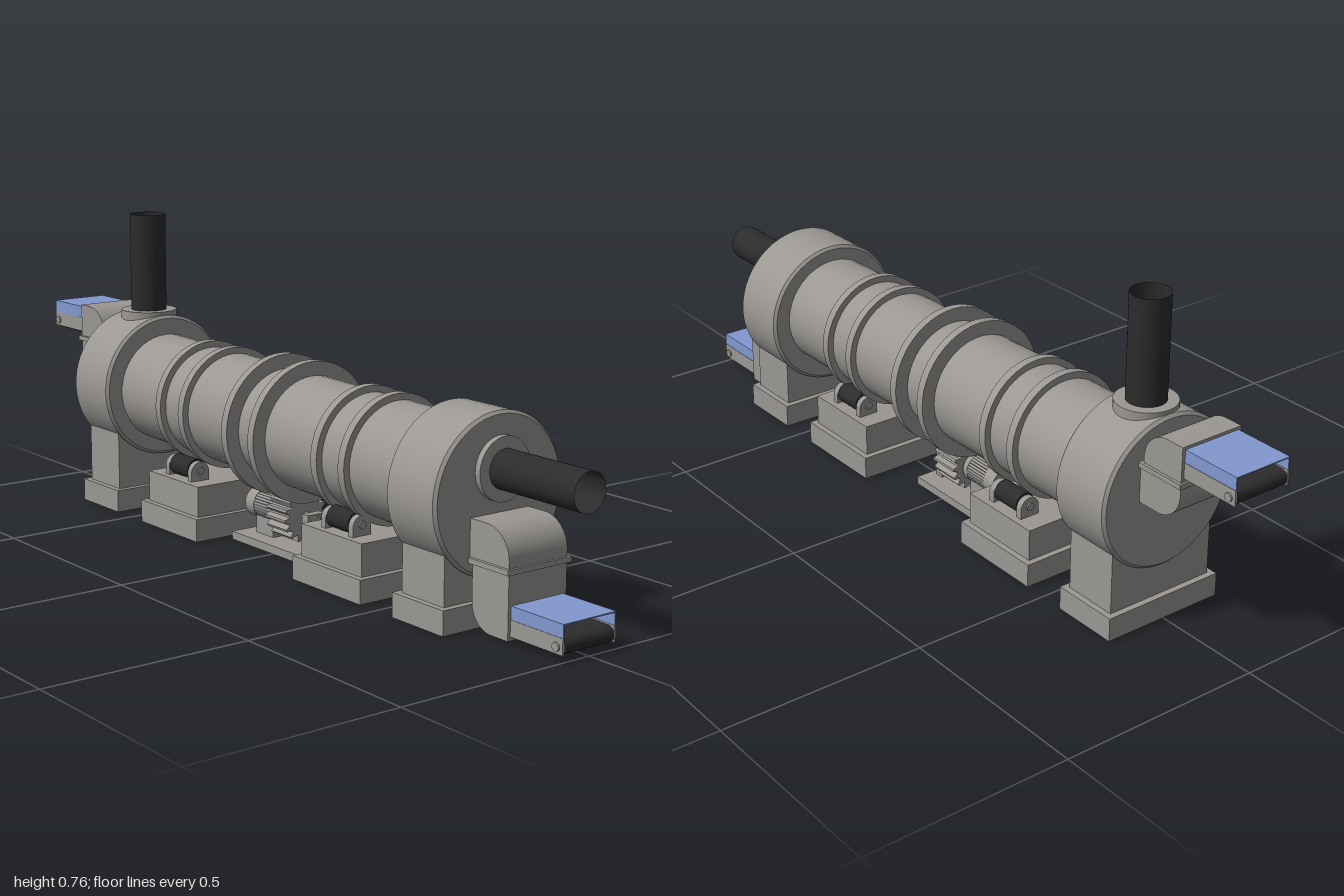
import * as THREE from 'three';

export function createModel() {
  const root = new THREE.Group();
  const mat = (name, color, side = THREE.FrontSide) =>
    Object.assign(new THREE.MeshStandardMaterial({ color, side }), { name });
  const grey = mat('grey steel', 0x9b9894);
  const dark = mat('dark rubber', 0x2c2c2c, THREE.DoubleSide);
  const blue = mat('blue cover', 0x8298d0);

  const add = (name, geo, m, parent = root) => {
    const mesh = new THREE.Mesh(geo, m);
    mesh.name = name;
    parent.add(mesh);
    return mesh;
  };
  // Box given by its limits
  const box = (name, m, x0, x1, y0, y1, z0, z1, parent) => {
    const b = add(name, new THREE.BoxGeometry(x1 - x0, y1 - y0, z1 - z0), m, parent);
    b.position.set((x0 + x1) / 2, (y0 + y1) / 2, (z0 + z1) / 2);
    return b;
  };
  // Cylinder along x
  const cylX = (name, m, r, x0, x1, y, z = 0, parent = root, open = false) => {
    const g = new THREE.CylinderGeometry(r, r, x1 - x0, 48, 1, open).rotateZ(-Math.PI / 2);
    const c = add(name, g, m, parent);
    c.position.set((x0 + x1) / 2, y, z);
    return c;
  };

  // Slightly sloping drum with riding tyres and twin girth rings
  const drum = new THREE.Group();
  drum.name = 'drum';
  drum.position.y = 0.303;
  drum.rotation.z = -0.02;
  root.add(drum);
  cylX('drumShell', grey, 0.138, -0.62, 0.62, 0, 0, drum);
  for (const x of [-0.37, -0.27, 0.27, 0.37]) cylX('tyre', grey, 0.154, x - 0.011, x + 0.011, 0, 0, drum);
  for (const x of [-0.055, 0.052]) cylX('girthRing', grey, 0.173, x - 0.011, x + 0.011, 0, 0, drum);

  // End hoods with bevelled rims, on legs and footings
  for (const [x, y] of [[-0.645, 0.318], [0.642, 0.284]]) {
    const w = 0.081, r = 0.183, b = 0.007;
    const sections = [[[0, -w], [r - b, -w]], [[r - b, -w], [r, b - w]], [[r, b - w], [r, w - b]],
      [[r, w - b], [r - b, w]], [[r - b, w], [0, w]]];
    const hood = new THREE.Group();
    hood.name = 'endHood';
    hood.position.set(x, y, 0);
    root.add(hood);
    for (const s of sections) {
      const g = new THREE.LatheGeometry(s.map(p => new THREE.Vector2(...p)), 64).rotateZ(-Math.PI / 2);
      add('hoodSurface', g, grey, hood);
    }
    box('hoodLeg', grey, x - 0.069, x + 0.069, 0.05, y - 0.09, -0.143, 0.143);
    box('hoodFooting', grey, x - 0.084, x + 0.084, 0, 0.057, -0.158, 0.158);
  }

  // Exhaust stack and burner pipe, each open at the end
  const up = (name, m, r, y0, y1, open) => {
    const c = add(name, new THREE.CylinderGeometry(r, r, y1 - y0, 48, 1, open), m);
    c.position.set(-0.645, (y0 + y1) / 2, 0);
  };
  up('stackCollar', grey, 0.072, 0.44, 0.51, false);
  up('stack', dark, 0.046, 0.505, 0.76, true);
  cylX('burnerFlange', grey, 0.072, 0.71, 0.738, 0.343);
  cylX('burnerPipe', dark, 0.045, 0.735, 0.99, 0.343, 0, root, true);

  // Roller stations: stepped block, two rollers in round-topped bearings
  const bearingShape = new THREE.Shape();
  bearingShape.moveTo(-0.026, 0);
  bearingShape.lineTo(0.026, 0);
  bearingShape.lineTo(0.026, 0.024);
  bearingShape.absarc(0, 0.024, 0.026, 0, Math.PI, false);
  const bearingGeo = new THREE.ExtrudeGeometry(bearingShape, { depth: 0.016, bevelEnabled: false, curveSegments: 16 })
    .translate(0, 0, -0.008).rotateY(Math.PI / 2);
  for (const x of [-0.322, 0.322]) {
    box('rollerFooting', grey, x - 0.125, x + 0.125, 0, 0.057, -0.158, 0.158);
    box('rollerBlock', grey, x - 0.11, x + 0.11, 0.05, 0.134, -0.143, 0.143);
    for (const z of [-0.1, 0.1]) {
      cylX('roller', dark, 0.026, x - 0.04, x + 0.04, 0.16, z);
      cylX('rollerAxle', grey, 0.01, x - 0.062, x + 0.062, 0.16, z);
      for (const dx of [-0.05, 0.05])
        add('bearing', bearingGeo, grey).position.set(x + dx, 0.132, z);
    }
  }

  // Drive: base plate, finned motor, pinion and outer bearing
  box('drivePlate', grey, -0.17, 0.098, 0, 0.02, -0.07, 0.07);
  cylX('motorBody', grey, 0.031, -0.135, -0.045, 0.09);
  cylX('motorFanCover', grey, 0.037, -0.16, -0.125, 0.09);
  cylX('motorFlange', grey, 0.037, -0.06, -0.045, 0.09);
  for (let i = 0; i < 16; i++) {
    const fin = box('motorFin', grey, -0.13, -0.055, 0.087, 0.093, -0.036, 0.036);
    fin.rotation.x = (i / 16) * Math.PI;
  }
  box('motorFoot', grey, -0.13, -0.06, 0.018, 0.07, -0.025, 0.025);
  cylX('driveShaft', grey, 0.012, -0.06, 0.085, 0.09);
  box('shaftSupport', grey, 0.058, 0.08, 0.018, 0.105, -0.025, 0.025);
  const gear = new THREE.Shape();
  const teeth = 16;
  for (let i = 0; i < teeth * 4; i++) {
    const a = (i / (teeth * 4)) * Math.PI * 2, r = i % 4 < 2 ? 0.063 : 0.05;
    gear[i ? 'lineTo' : 'moveTo'](r * Math.cos(a), r * Math.sin(a));
  }
  gear.closePath();
  add('pinion', new THREE.ExtrudeGeometry(gear, { depth: 0.08, bevelEnabled: false })
    .translate(0, 0, -0.04).rotateY(Math.PI / 2), grey).position.set(0, 0.09, 0);

  // Chutes: upper elbow rounded at the top right, flange, lower elbow rounded at the bottom left
  const elbow = (name, x0, x1, y0, y1, r, upper) => {
    const s = new THREE.Shape();
    if (upper) {
      s.moveTo(x0, y0);
      s.lineTo(x1, y0);
      s.lineTo(x1, y1 - r);
      s.absarc(x1 - r, y1 - r, r, 0, Math.PI / 2, false);
      s.lineTo(x0, y1);
    } else {
      s.moveTo(x1, y1);
      s.lineTo(x0, y1);
      s.lineTo(x0, y0 + r);
      s.absarc(x0 + r, y0 + r, r, Math.PI, Math.PI * 1.5, false);
      s.lineTo(x1, y0);
    }
    add(name, new THREE.ExtrudeGeometry(s, { depth: 0.166, bevelEnabled: false, curveSegments: 16 })
      .translate(0, 0, -0.083), grey);
  };
  elbow('inletUpperElbow', -0.85, -0.735, 0.415, 0.502, 0.07, true);
  elbow('inletLowerElbow', -0.85, -0.715, 0.32, 0.415, 0.07, false);
  box('inletFlange', grey, -0.855, -0.727, 0.407, 0.419, -0.09, 0.09);
  elbow('outletUpperElbow', 0.715, 0.845, 0.157, 0.246, 0.07, true);
  elbow('outletLowerElbow', 0.732, 0.845, 0.006, 0.157, 0.06, false);
  box('outletFlange', grey, 0.726, 0.851, 0.15, 0.162, -0.091, 0.091);

  // Belt conveyors with grey side rails and a thin open-ended cover
  for (const [x0, x1, y, end] of [[-1, -0.84, 0.425, -0.982], [0.835, 1, 0.012, 0.982]]) {
    const g = new THREE.Group();
    g.name = 'conveyor';
    root.add(g);
    box('belt', dark, Math.max(x0, -0.982), Math.min(x1, 0.982), y, y + 0.037, -0.071, 0.071, g);
    const roll = add('beltEnd', new THREE.CylinderGeometry(0.0185, 0.0185, 0.142, 24).rotateX(Math.PI / 2), dark, g);
    roll.position.set(end, y + 0.0185, 0);
    const pin = add('beltPin', new THREE.CylinderGeometry(0.01, 0.01, 0.16, 16).rotateX(Math.PI / 2), grey, g);
    pin.position.copy(roll.position);
    for (const s of [-1, 1]) {
      box('sideRail', grey, x0, x1, y + 0.003, y + 0.04, s * 0.0735 - 0.0025, s * 0.0735 + 0.0025, g);
      box('coverSide', blue, x0, x1, y + 0.04, y + 0.069, s * 0.0735 - 0.0015, s * 0.0735 + 0.0015, g);
    }
    box('coverTop', blue, x0, x1, y + 0.067, y + 0.07, -0.075, 0.075, g);
  }
  return root;
}
